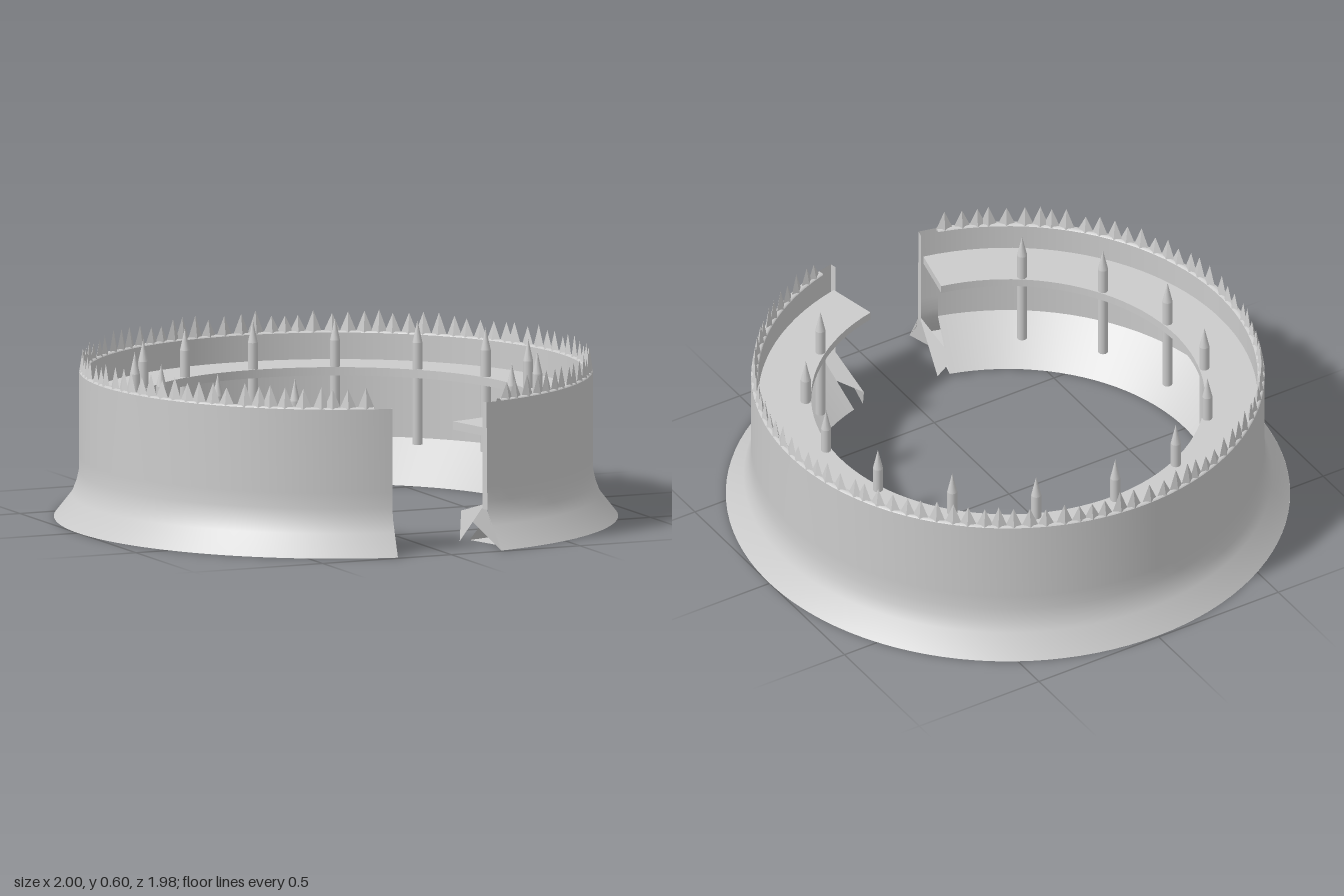
import * as THREE from 'three';
import { mergeGeometries } from 'three/addons/utils/BufferGeometryUtils.js';

const RAD = Math.PI / 180;
const END = 11.6;   // half angle of the gateway, outer skin
const INNER = 15.7; // half angle of the gateway, inner skin
const mat = new THREE.MeshStandardMaterial({ color: 0xcccccc, side: THREE.DoubleSide });
const flatMat = new THREE.MeshStandardMaterial({ color: 0xcccccc, side: THREE.DoubleSide, flatShading: true });

let seed = 7;
function rand() {
  seed = (seed * 16807) % 2147483647;
  return seed / 2147483647;
}

// point at a radius, height and angle measured from +z
function polar(r, y, deg) {
  return new THREE.Vector3(r * Math.sin(deg * RAD), y, r * Math.cos(deg * RAD));
}

// revolve a profile of [radius, height] around the ring, leaving the gateway open
function sweep(name, profile, gap, material = mat) {
  const pts = profile.map(([r, y]) => new THREE.Vector2(r, y));
  const geo = new THREE.LatheGeometry(pts, 96, gap * RAD, (360 - 2 * gap) * RAD);
  const mesh = new THREE.Mesh(geo, material);
  mesh.name = name;
  return mesh;
}

// flat-sided piece from a list of corner points, three per triangle
function facets(name, points) {
  const geo = new THREE.BufferGeometry().setFromPoints(points);
  geo.computeVertexNormals();
  const mesh = new THREE.Mesh(geo, flatMat);
  mesh.name = name;
  return mesh;
}

export function createModel() {
  const group = new THREE.Group();
  group.name = 'palisadeRing';
  const ring = new THREE.Group();
  ring.name = 'ring';
  ring.position.z = 0.007;
  group.add(ring);

  // wall skins, with a flared foot on both sides
  ring.add(
    sweep('outerWall', [[1, 0], [0.937, 0.08], [0.92, 0.125], [0.911, 0.165], [0.91, 0.22], [0.91, 0.52]], END),
    sweep('innerWall', [[0.885, 0.52], [0.885, 0.15]], INNER),
    sweep('innerFoot', [[0.885, 0.15], [0.737, 0]], INNER),
    sweep('footBase', [[0.737, 0], [1, 0]], INNER),
    sweep('wallCrest', [[0.91, 0.52], [0.905, 0.526], [0.89, 0.526], [0.885, 0.52]], INNER)
  );

  // ledge running inside the wall
  const ledge = [[0.698, 0.395], [0.885, 0.395], [0.885, 0.425], [0.698, 0.425], [0.698, 0.395]];
  for (let i = 0; i < 4; i++) {
    ring.add(sweep('walkway', [ledge[i], ledge[i + 1]], 12.2));
  }

  // gateway ends, mirrored: ledge end, thin wall edge and folded foot pieces
  for (const s of [1, -1]) {
    const [p, q, t, u] = ledge.map(([r, y]) => polar(r, y, s * 12.2));
    ring.add(facets('walkwayEnd', [p, q, t, p, t, u]));

    const a = polar(0.885, 0.135, s * END), b = polar(0.915, 0.135, s * END);
    const c = polar(0.91, 0.52, s * END), d = polar(0.885, 0.52, s * END);
    ring.add(facets('wallEnd', [a, b, c, a, c, d]));

    const toe = polar(1, 0, s * END), bend = polar(0.9, 0.155, s * END);
    const heel = polar(0.737, 0, s * 12.2), fold = polar(0.69, 0.1, s * INNER);
    ring.add(facets('footEnd', [toe, bend, fold, bend, heel, fold]));
  }

  // jagged spikes along the crest
  const spikes = [];
  const count = 92;
  const step = (360 - 2 * INNER) / count;
  for (let i = 0; i < count; i++) {
    const h = 0.06 + rand() * 0.025;
    const angle = INNER + (i + 0.5 + (rand() - 0.5) * 0.4) * step;
    const geo = new THREE.ConeGeometry(1, 1, 4, 1, true);
    geo.scale(0.031, h, 0.0125);
    geo.rotateY(angle * RAD);
    const pos = polar(0.8975, 0.52 + h / 2, angle);
    geo.translate(pos.x, pos.y, pos.z);
    spikes.push(geo);
  }
  const teeth = new THREE.Mesh(mergeGeometries(spikes), flatMat);
  teeth.name = 'crestSpikes';
  ring.add(teeth);

  // pointed posts along the inner edge of the ledge
  const shaft = new THREE.CylinderGeometry(0.018, 0.018, 0.365, 12);
  const tip = new THREE.ConeGeometry(0.018, 0.08, 12, 1, true);
  for (let k = -6; k <= 6; k++) {
    const post = new THREE.Group();
    post.name = 'post';
    const body = new THREE.Mesh(shaft, mat);
    body.name = 'postShaft';
    body.position.y = 0.3375;
    const point = new THREE.Mesh(tip, mat);
    point.name = 'postTip';
    point.position.y = 0.56;
    post.add(body, point);
    post.position.copy(polar(0.717, 0, 180 + k * 24));
    ring.add(post);
  }
  return group;
}
